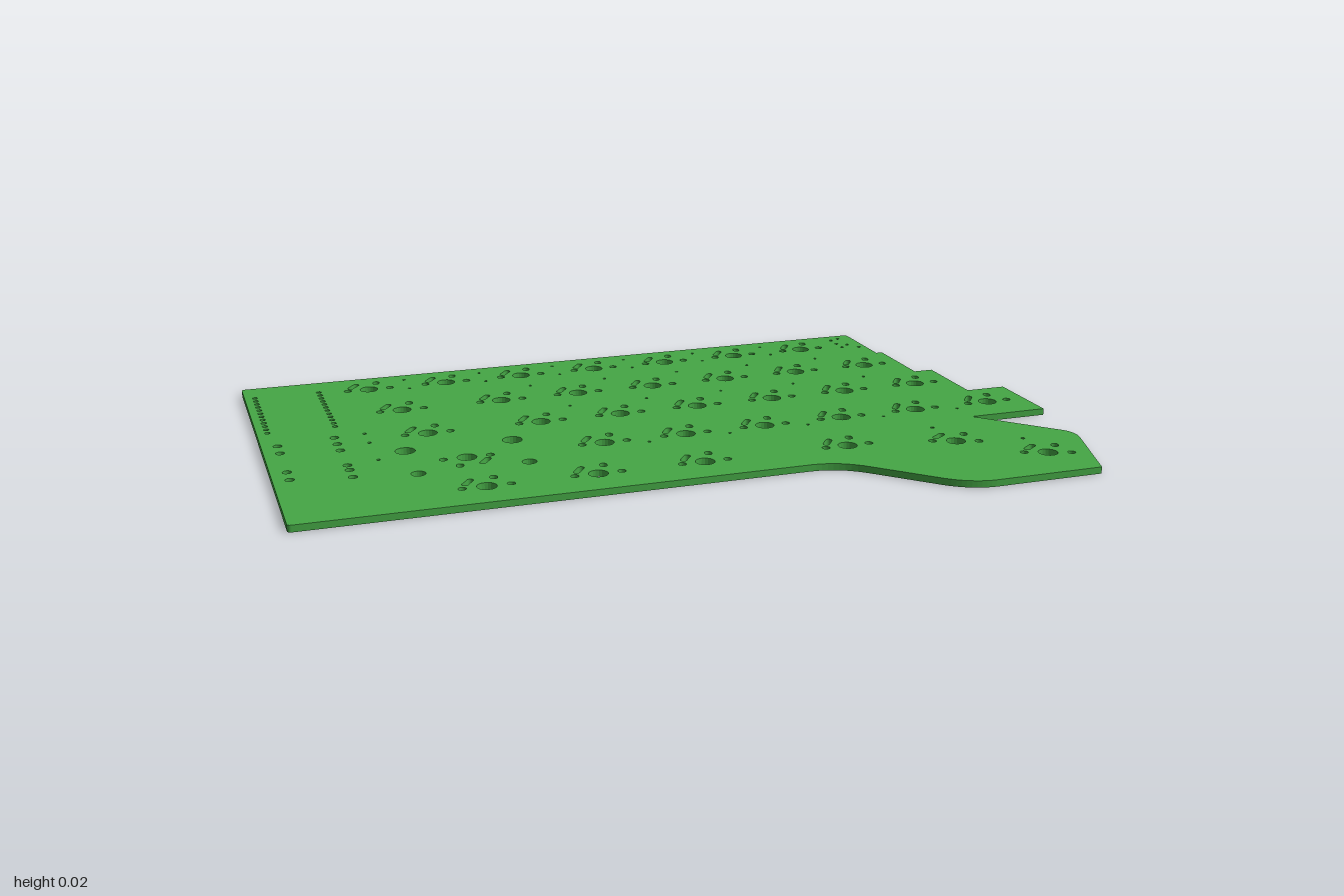
import * as THREE from 'three';

const THICKNESS = 0.017;
const PITCH = 0.215;

// Shapes are drawn in plan with y = -z, then laid flat.
function roundHole(x, z, r) {
  const p = new THREE.Path();
  p.absarc(x, -z, r, 0, Math.PI * 2, false);
  return p;
}

// Slot with rounded ends between two plan points
function slotHole(x1, z1, x2, z2, r) {
  const a = Math.atan2(-z2 + z1, x2 - x1);
  const p = new THREE.Path();
  p.absarc(x2, -z2, r, a - Math.PI / 2, a + Math.PI / 2, false);
  p.absarc(x1, -z1, r, a + Math.PI / 2, a + Math.PI * 1.5, false);
  p.closePath();
  return p;
}

// Stem hole, two side pegs and two contact slots of one key switch
function switchHoles(cx, cz, degrees = 0) {
  const c = Math.cos(degrees * Math.PI / 180), s = Math.sin(degrees * Math.PI / 180);
  const at = (x, z) => [cx + x * c - z * s, cz + x * s + z * c];
  return [
    roundHole(cx, cz, 0.024),
    roundHole(...at(-0.058, 0), 0.01),
    roundHole(...at(0.058, 0), 0.01),
    slotHole(...at(-0.046, -0.026), ...at(-0.028, -0.051), 0.008),
    slotHole(...at(0.029, -0.058), ...at(0.028, -0.052), 0.009),
  ];
}

function boardOutline() {
  const s = new THREE.Shape();
  const to = (x, z) => s.lineTo(x, -z);
  const curve = (cx, cz, x, z) => s.quadraticCurveTo(cx, -cz, x, -z);
  s.moveTo(-0.99, 0.653);
  to(0.808, -0.653);
  curve(0.82, -0.653, 0.82, -0.641);
  // stepped edge
  to(0.82, -0.439); to(0.838, -0.439);
  to(0.838, -0.225); to(0.891, -0.225);
  to(0.891, -0.011); to(0.998, -0.011);
  curve(1, -0.011, 1, -0.009);
  to(1, 0.203); to(0.787, 0.203);
  // thumb cluster
  to(0.951, 0.378);
  curve(0.973, 0.404, 0.96, 0.443);
  to(0.888, 0.653); to(0.605, 0.653);
  curve(0.545, 0.651, 0.495, 0.606);
  to(0.365, 0.475);
  curve(0.308, 0.417, 0.235, 0.417);
  to(-0.99, 0.417);
  curve(-1, 0.417, -1, 0.407);
  to(-1, -0.643);
  curve(-1, -0.653, -0.99, -0.653);
  return s;
}

export function createModel() {
  const group = new THREE.Group();
  group.name = 'keyboardCircuitBoard';
  const board = boardOutline();
  const add = (...holes) => board.holes.push(...holes);

  // Key rows: single keys, an evenly spaced run, and via offsets between its keys
  const rows = [
    { z: -0.548, singles: [], start: -0.667, count: 7, vias: [-0.06, 0.025] },
    { z: -0.333, singles: [-0.614], start: -0.345, count: 6, vias: [-0.107] },
    { z: -0.118, singles: [-0.587], start: -0.291, count: 6, vias: [-0.107] },
    { z: 0.097, singles: [], start: -0.184, count: 6, vias: [0.03] },
    { z: 0.312, singles: [-0.533, -0.264, 0.004, 0.38], start: 0, count: 0, vias: [] },
  ];
  for (const { z, singles, start, count, vias } of rows) {
    for (const x of singles) add(...switchHoles(x, z));
    for (let i = 0; i < count; i++) {
      add(...switchHoles(start + i * PITCH, z));
      if (i < count - 1)
        for (const dz of vias) add(roundHole(start + (i + 0.5) * PITCH, z + dz, 0.004));
    }
  }

  // Turned key with its stabiliser, and the two slanted thumb keys
  add(...switchHoles(-0.533, 0.097, 180));
  for (const x of [-0.667, -0.397]) add(roundHole(x, 0.003, 0.025), roundHole(x, 0.177, 0.018));
  add(...switchHoles(0.651, 0.367, 19), ...switchHoles(0.823, 0.517, 19));

  // Controller pin rows
  for (const x of [-0.973, -0.802])
    for (let i = 0; i < 12; i++) add(roundHole(x, -0.562 + i * 0.0287, 0.007));

  // Socket and button holes
  for (const z of [-0.133, -0.076, 0.068, 0.124]) add(roundHole(-0.96, z, 0.011));
  for (const z of [-0.156, -0.103, -0.052, 0.064, 0.099, 0.151]) add(roundHole(-0.817, z, 0.011));

  // Loose vias near the edges
  const looseVias = [[-0.74, -0.163], [-0.74, -0.088], [-0.74, 0.048], [0.75, -0.61], [0.75, -0.57],
    [0.75, -0.53], [0.777, -0.622], [0.777, -0.552], [0.8, -0.517], [0.645, 0.253], [0.82, 0.403]];
  for (const [x, z] of looseVias) add(roundHole(x, z, 0.005));

  const geometry = new THREE.ExtrudeGeometry(board, {
    depth: THICKNESS, bevelEnabled: false, curveSegments: 10,
  });
  geometry.rotateX(-Math.PI / 2);
  const mesh = new THREE.Mesh(geometry, new THREE.MeshStandardMaterial({ color: 0x45a745 }));
  mesh.name = 'circuitBoard';
  group.add(mesh);
  return group;
}
